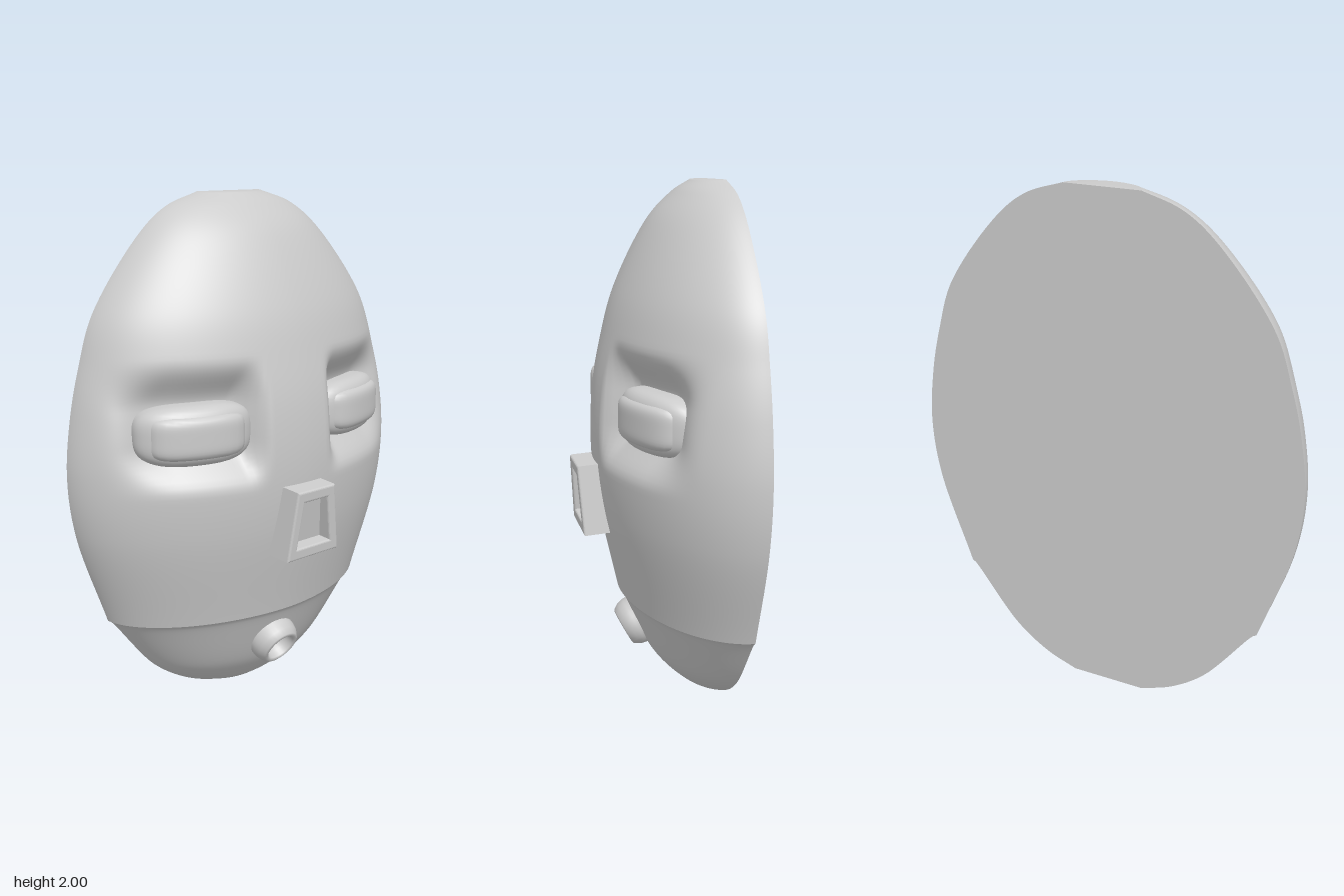
import * as THREE from 'three';

const BACK = -0.27;   // plane of the flat back
const MID = -0.035;   // the facial features sit slightly off centre
const mat = () => new THREE.MeshStandardMaterial({ color: 0xcccccc });

function add(parent, geometry, name) {
  const mesh = new THREE.Mesh(geometry, mat());
  mesh.name = name;
  parent.add(mesh);
  return mesh;
}

// Smooth grid of points: rows run downwards, columns towards +x
function grid(rows, cols, point) {
  const pos = [], index = [];
  for (let j = 0; j <= rows; j++) {
    for (let i = 0; i <= cols; i++) {
      pos.push(...point(j, i / cols));
      if (j < rows && i < cols) {
        const a = j * (cols + 1) + i, b = a + cols + 1;
        index.push(a, b, a + 1, b, b + 1, a + 1);
      }
    }
  }
  const g = new THREE.BufferGeometry();
  g.setAttribute('position', new THREE.Float32BufferAttribute(pos, 3));
  g.setIndex(index);
  g.computeVertexNormals();
  return g;
}

// Head keys: half width, height, front depth
const upper = [[0.15, 2, -0.18], [0.3, 1.95, -0.11], [0.43, 1.85, -0.02], [0.64, 1.58, 0.11],
  [0.705, 1.4, 0.158], [0.75, 1.22, 0.19], [0.775, 1.0, 0.2], [0.75, 0.77, 0.18], [0.625, 0.395, 0.1]];
const lower = [[0.625, 0.395, 0.1], [0.61, 0.385, 0.09], [0.42, 0.15, -0.02], [0.28, 0.05, -0.11], [0.15, 0, -0.18]];
const spline = (keys, n) =>
  new THREE.CatmullRomCurve3(keys.map(k => new THREE.Vector3(...k))).getSpacedPoints(n);

// Depth of the hollow around each eye
function socket(x, y) {
  const s = THREE.MathUtils.smoothstep, d = Math.abs(x - MID);
  return 0.11 * s(d, 0.14, 0.23) * (1 - s(d, 0.46, 0.7)) * s(y, 0.94, 1.12) * (1 - s(y, 1.25, 1.43));
}

function shellPoint(k, t) {
  const a = (t - 0.5) * Math.PI, s = Math.sin(a), e = 2 / 1.85;
  const x = k.x * Math.sign(s) * Math.abs(s) ** e;
  const z = BACK + (k.z - BACK) * Math.max(0, Math.cos(a)) ** e;
  return [x, k.y, Math.max(BACK, z - socket(x, k.y))];
}

// Rounded block: a sphere squared off by a power, then bent backwards at its ends
function bentBlock(w, h, d, power, bend) {
  const g = new THREE.SphereGeometry(1, 48, 32);
  const p = g.attributes.position;
  const f = v => Math.sign(v) * Math.abs(v);
  for (let i = 0; i < p.count; i++) {
    const x = p.getX(i), y = p.getY(i), z = p.getZ(i);
    const r = (Math.abs(x) ** power + Math.abs(y) ** power + Math.abs(z) ** power) ** (-1 / power);
    const u = f(x) * r * w;
    p.setXYZ(i, u, y * r * h, z * r * d - bend * u * u);
  }
  g.computeVertexNormals();
  return g;
}

function makeEye(side) {
  const eye = new THREE.Group();
  eye.name = side > 0 ? 'leftEye' : 'rightEye';
  add(eye, bentBlock(0.225, 0.112, 0.085, 3.2, 0.9), 'eyelid');
  add(eye, bentBlock(0.185, 0.083, 0.098, 5, 0.9), 'eyeRoll');
  eye.position.set(MID + side * 0.385, 1.162, 0.035);
  eye.rotation.y = side * 0.33;
  return eye;
}

function makeNose() {
  const nose = new THREE.Group();
  nose.name = 'nose';
  const trapezoid = (C, top, bottom, y0, y1) => new C([[-bottom, y0], [bottom, y0], [top, y1], [-top, y1]]
    .map(p => new THREE.Vector2(...p)));
  const frame = trapezoid(THREE.Shape, 0.087, 0.122, -0.127, 0.127);
  frame.holes.push(trapezoid(THREE.Path, 0.066, 0.094, -0.098, 0.098));
  add(nose, new THREE.ExtrudeGeometry(frame, {
    depth: 0.13, bevelSize: 0.008, bevelThickness: 0.008, bevelSegments: 3,
  }), 'noseFrame').position.z = -0.138;
  // sloping floor of the recess
  const floor = add(nose, new THREE.BoxGeometry(0.19, 0.225, 0.05), 'noseRecess');
  floor.position.z = -0.075;
  floor.rotation.x = 0.1;
  nose.position.set(MID, 0.795, 0.267);
  nose.rotation.x = 0.07;
  return nose;
}

function makeMouth() {
  // Hollow tapered spout
  const profile = [[0.1, -0.08], [0.1, 0.01], [0.094, 0.035], [0.08, 0.058], [0.07, 0.062],
    [0.061, 0.056], [0.057, 0.03], [0.05, 0.0], [0.03, -0.015], [0, -0.02]];
  const g = new THREE.LatheGeometry(profile.map(p => new THREE.Vector2(...p)), 32);
  g.rotateX(Math.PI / 2);
  const mouth = new THREE.Mesh(g, mat());
  mouth.material.side = THREE.DoubleSide;
  mouth.name = 'mouth';
  mouth.position.set(MID, 0.245, 0.025);
  mouth.rotation.x = 0.5;
  return mouth;
}

export function createModel() {
  const model = new THREE.Group();
  model.name = 'mask';

  // Face and chin meet at a crease; flat ends close the crown and the chin
  const face = spline(upper, 100), chin = spline(lower, 36);
  const flat = k => new THREE.Vector3(k.x, k.y, BACK);
  const faceRows = [flat(face[0]), ...face], chinRows = [...chin, flat(chin[chin.length - 1])];
  add(model, grid(faceRows.length - 1, 120, (j, t) => shellPoint(faceRows[j], t)), 'face');
  add(model, grid(chinRows.length - 1, 120, (j, t) => shellPoint(chinRows[j], t)), 'chin');

  // Flat back
  const all = [...face, ...chin.slice(1)];
  add(model, grid(all.length - 1, 2, (j, t) => [all[j].x * (1 - 2 * t), all[j].y, BACK]), 'back');

  for (const side of [-1, 1]) model.add(makeEye(side));
  model.add(makeNose(), makeMouth());
  return model;
}
